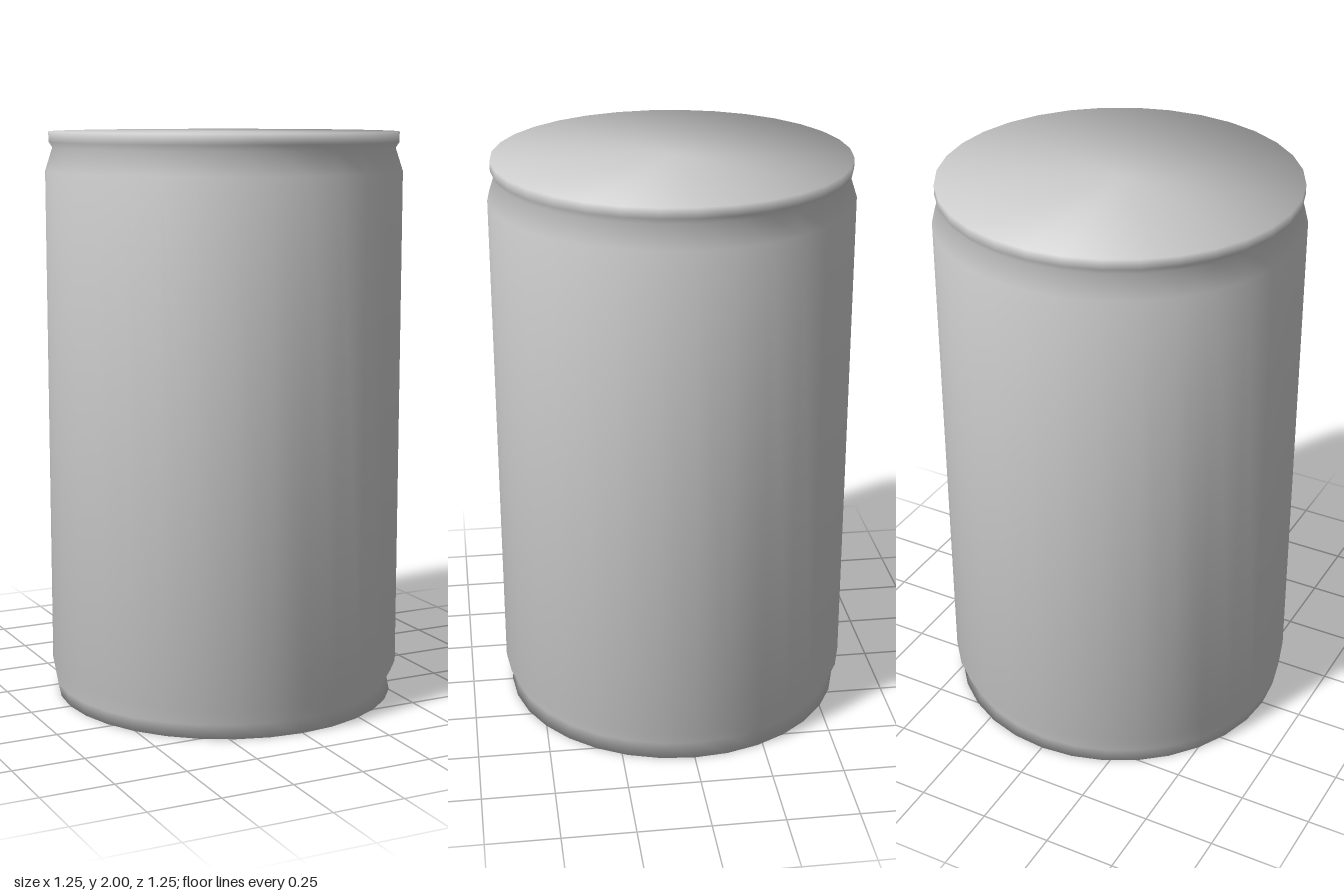
import * as THREE from 'three';

const SEGMENTS = 32;

// Can outline as [radius, height], from the base centre up to the lid centre
const PROFILE = [
  [0, 0], [0.603, 0], [0.6, 0.05], [0.623, 0.11],
  [0.623, 1.865], [0.597, 1.945], [0.61, 1.965], [0.61, 2], [0, 2],
].map(([r, y]) => new THREE.Vector2(r, y));

// Outward unit normal of the profile edge that starts at point j
function edgeNormal(j) {
  const d = PROFILE[j + 1].clone().sub(PROFILE[j]);
  return new THREE.Vector2(d.y, -d.x).normalize();
}

// Soft normals: each ring averages its two neighbouring edges equally
function ringNormals() {
  const last = PROFILE.length - 1;
  return PROFILE.map((p, j) => {
    // Flat cap centres stay short so the shading runs evenly across the cap
    if (j === 0) return new THREE.Vector2(0, -Math.SQRT1_2);
    if (j === last) return new THREE.Vector2(0, Math.SQRT1_2);
    return edgeNormal(j - 1).add(edgeNormal(j)).normalize();
  });
}

function canGeometry() {
  const geometry = new THREE.LatheGeometry(PROFILE, SEGMENTS);
  const { position, normal } = geometry.attributes;
  const rings = ringNormals();
  for (let i = 0; i <= SEGMENTS; i++) {
    const a = (i / SEGMENTS) * Math.PI * 2;
    rings.forEach((n, j) => {
      const k = i * rings.length + j;
      normal.setXYZ(k, n.x * Math.sin(a), n.y, n.x * Math.cos(a));
      // The lower neck ring sits slightly off centre, denting the left side
      if (j === 2) position.setX(k, position.getX(k) - 0.013);
    });
  }
  return geometry;
}

export function createModel() {
  const group = new THREE.Group();
  group.name = 'can';
  const body = new THREE.Mesh(
    canGeometry(),
    new THREE.MeshStandardMaterial({ color: 0xcccccc, side: THREE.DoubleSide }),
  );
  body.name = 'canBody';
  group.add(body);
  return group;
}
